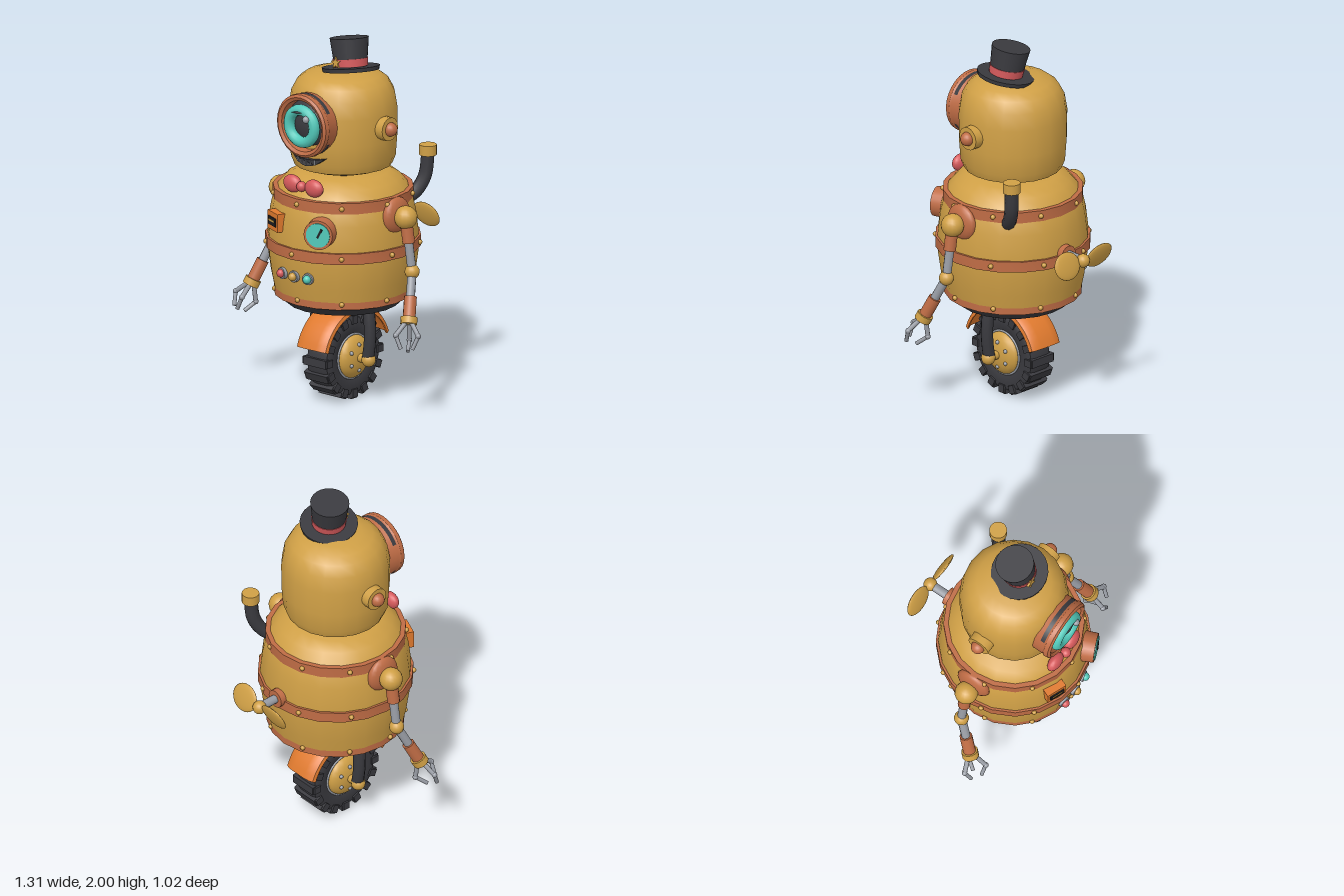
import * as THREE from 'three';
import { toCreasedNormals } from 'three/addons/utils/BufferGeometryUtils.js';

const paint = (name, color, side = THREE.FrontSide) => {
  const m = new THREE.MeshStandardMaterial({ color, side });
  m.name = name;
  return m;
};

export function createModel() {
  const gold = paint('gold', 0xd0a046), copper = paint('copper', 0xbf6c45);
  const dark = paint('charcoal', 0x3a3a3f), orange = paint('orange', 0xe07a2e, THREE.DoubleSide);
  const teal = paint('teal', 0x52c9ba), red = paint('red', 0xd65a5c);
  const silver = paint('silver', 0x989ca4), black = paint('black', 0x1d1d20);

  const model = new THREE.Group();
  const robot = new THREE.Group();
  robot.name = 'robot';
  robot.position.z = 0.075; // vertical axis of the body
  model.add(robot);

  const V = (x, y, z) => new THREE.Vector3(x, y, z);
  const add = (name, geo, mat, pos = [0, 0, 0], parent = robot) => {
    const m = new THREE.Mesh(geo, mat);
    m.name = name;
    m.position.set(...pos);
    parent.add(m);
    return m;
  };
  const group = (name, pos, parent = robot) => {
    const g = new THREE.Group();
    g.name = name;
    g.position.set(...pos);
    parent.add(g);
    return g;
  };
  const lathe = (pts, seg = 20, start = 0, len = Math.PI * 2) => toCreasedNormals(
    new THREE.LatheGeometry(pts.map(p => new THREE.Vector2(...p)), seg, start, len), 0.6);
  const ball = (name, r, mat, pos, parent, scale = [1, 1, 1]) =>
    add(name, new THREE.SphereGeometry(r, 16, 12).scale(...scale), mat, pos, parent);
  const cyl = (r0, r1, h, seg = 16) => new THREE.CylinderGeometry(r0, r1, h, seg);
  const rod = (name, a, b, r, mat, seg = 10) => {
    const d = b.clone().sub(a);
    const m = add(name, cyl(r, r, d.length(), seg), mat, a.clone().add(b).multiplyScalar(0.5).toArray());
    m.quaternion.setFromUnitVectors(V(0, 1, 0), d.normalize());
    return m;
  };
  const tube = (name, pts, r, mat) => add(name,
    new THREE.TubeGeometry(new THREE.CatmullRomCurve3(pts), 14, r, 10), mat);

  // Barrel body, underside and neck
  add('body', lathe([[0.36, 0.58], [0.383, 0.69], [0.4, 0.81], [0.402, 0.92], [0.388, 1.04], [0.365, 1.14],
    [0.345, 1.175], [0.305, 1.22], [0.245, 1.255], [0, 1.255]]), gold);
  add('underside', lathe([[0, 0.53], [0.3, 0.53], [0.358, 0.585]]), dark);
  add('neck', cyl(0.14, 0.14, 0.08), dark, [0, 1.27, 0]);

  // Riveted bands
  for (const [R, y] of [[0.374, 1.14], [0.414, 0.873], [0.368, 0.61]]) {
    add('band', lathe([[R - 0.03, y - 0.03], [R, y - 0.03], [R, y + 0.03], [R - 0.03, y + 0.03]]), copper);
    for (let i = 0; i < 9; i++) {
      const a = i * Math.PI * 2 / 9;
      add('rivet', new THREE.SphereGeometry(0.014, 8, 6), gold, [Math.sin(a) * R, y, Math.cos(a) * R]);
    }
  }

  // Head with ears
  add('head', lathe([[0, 1.28], [0.22, 1.28], [0.262, 1.295], [0.28, 1.34], [0.288, 1.45], [0.29, 1.6],
    [0.275, 1.69], [0.243, 1.75], [0.2, 1.783], [0.14, 1.802], [0, 1.81]]), gold);
  for (const s of [-1, 1]) {
    add('ear', cyl(0.064, 0.064, 0.09).rotateZ(Math.PI / 2), gold, [s * 0.285, 1.535, 0]);
    ball('earKnob', 0.038, copper, [s * 0.333, 1.535, 0]);
  }

  // Goggle eye
  const eye = group('eye', [0, 1.563, 0]);
  add('goggleRim', lathe([[0.165, 0.15], [0.168, 0.3], [0.174, 0.31], [0.172, 0.335], [0.158, 0.345],
    [0.14, 0.335], [0.136, 0.3], [0.136, 0.22]], 28).rotateX(Math.PI / 2), copper, [0, 0, 0], eye);
  for (const a of [0, Math.PI]) {
    add('goggleTrim', new THREE.CylinderGeometry(0.17, 0.17, 0.024, 14, 1, true, a - 1.05, 2.1)
      .rotateX(-Math.PI / 2), dark, [0, 0, 0.287], eye);
  }
  ball('eyeball', 0.145, dark, [0, 0, 0.215], eye, [1, 1, 0.8]);
  add('iris', new THREE.TorusGeometry(0.088, 0.03, 12, 32), teal, [0, 0, 0.333], eye);
  const lid = add('eyelid', new THREE.SphereGeometry(0.145, 20, 8, 0, Math.PI * 2, 0, 1.0).scale(1, 1, 1.28),
    dark, [0, 0, 0.215], eye);
  lid.rotation.z = 0.1;
  ball('eyeGlint', 0.02, silver, [0.055, 0.052, 0.362], eye);

  // Smiling grille, bent around the head
  const smile = new THREE.Shape();
  smile.moveTo(-0.112, 1.388);
  smile.quadraticCurveTo(0, 1.285, 0.112, 1.388);
  smile.quadraticCurveTo(0, 1.362, -0.112, 1.388);
  const mouth = new THREE.ExtrudeGeometry(smile, { depth: 0.03, bevelEnabled: false, curveSegments: 12 });
  const mp = mouth.attributes.position;
  for (let i = 0; i < mp.count; i++) mp.setZ(i, mp.getZ(i) - 0.018 + Math.sqrt(0.29 ** 2 - mp.getX(i) ** 2));
  mouth.computeVertexNormals();
  add('mouth', mouth, dark);
  for (let i = -2; i <= 2; i++) {
    const x = i * 0.03;
    add('mouthBar', new THREE.BoxGeometry(0.005, 0.026, 0.008), silver,
      [x, 1.356 + x * x * 2, Math.sqrt(0.29 ** 2 - x * x) + 0.011]);
  }

  // Tilted top hat
  const hat = group('hat', [0.055, 1.82, 0]);
  hat.rotation.set(-0.1, 0, 0.16);
  add('hatBrim', cyl(0.155, 0.15, 0.022, 24), dark, [0, 0, 0], hat);
  add('hatCrown', cyl(0.104, 0.086, 0.165, 24), dark, [0, 0.0825, 0], hat);
  add('hatBand', cyl(0.095, 0.091, 0.042, 24), red, [0, 0.034, 0], hat);
  const star = new THREE.Shape();
  for (let i = 0; i < 10; i++) {
    const r = i % 2 ? 0.014 : 0.034, a = Math.PI / 2 + i * Math.PI / 5;
    star[i ? 'lineTo' : 'moveTo'](Math.cos(a) * r, Math.sin(a) * r);
  }
  add('hatStar', new THREE.ExtrudeGeometry(star, { depth: 0.012, bevelEnabled: false }), gold, [-0.02, 0.038, 0.088], hat);

  // Bow tie
  for (const s of [-1, 1]) {
    const lobe = ball('bowLobe', 0.06, red, [s * 0.075, 1.23, 0.32], robot, [1, 0.8, 0.55]);
    lobe.rotation.z = s * 0.08;
  }
  ball('bowKnot', 0.028, red, [0, 1.23, 0.335]);

  // Coin slot
  const slot = group('coinSlot', [-0.148, 1.02, 0.365]);
  slot.rotation.y = -0.39;
  add('slotPlate', new THREE.BoxGeometry(0.115, 0.1, 0.05), orange, [0, 0, 0], slot);
  add('slotPanel', new THREE.BoxGeometry(0.085, 0.045, 0.008), black, [0, 0, 0.027], slot);
  add('slotBar', new THREE.BoxGeometry(0.06, 0.01, 0.008), gold, [0, 0.004, 0.03], slot);

  // Pressure gauge
  const gauge = group('gauge', [0.16, 1.01, 0.365]);
  gauge.rotation.y = 0.41;
  add('gaugeCase', cyl(0.08, 0.084, 0.08, 24).rotateX(Math.PI / 2), copper, [0, 0, 0.005], gauge);
  add('gaugeFace', cyl(0.066, 0.066, 0.008, 24).rotateX(Math.PI / 2), teal, [0, 0, 0.046], gauge);
  const needle = add('gaugeNeedle', new THREE.BoxGeometry(0.012, 0.055, 0.008), black, [0.01, 0.012, 0.052], gauge);
  needle.rotation.z = -0.45;

  // Buttons
  [red, gold, teal].forEach((mat, i) => {
    const x = (i - 1) * 0.088, b = group('button', [x, 0.747, Math.sqrt(0.39 ** 2 - x * x)]);
    b.rotation.y = x / 0.39;
    add('buttonBezel', cyl(0.031, 0.033, 0.03).rotateX(Math.PI / 2), silver, [0, 0, 0], b);
    ball('buttonCap', 0.023, mat, [0, 0, 0.017], b);
  });

  // Arms with three-fingered claws
  for (const s of [-1, 1]) {
    const shoulder = V(s * 0.44, 1.07, 0), elbow = V(s * 0.485, 0.78, 0), wrist = V(s * 0.55, 0.55, 0.1);
    const at = (a, b, t) => a.clone().lerp(b, t);
    ball('shoulderPad', 0.1, copper, [s * 0.372, 1.07, 0], robot, [0.42, 1, 1]);
    ball('shoulder', 0.063, gold, shoulder.toArray());
    rod('upperSleeve', at(shoulder, elbow, 0.15), at(shoulder, elbow, 0.47), 0.034, copper, 12);
    rod('upperArm', shoulder, elbow, 0.024, silver);
    ball('elbow', 0.04, gold, elbow.toArray());
    rod('foreArm', elbow, wrist, 0.024, silver);
    rod('foreSleeve', at(elbow, wrist, 0.52), at(elbow, wrist, 0.98), 0.034, copper, 12);
    const d = wrist.clone().sub(elbow).normalize();
    rod('wrist', at(elbow, wrist, 0.95), wrist.clone().addScaledVector(d, 0.025), 0.045, gold, 12);
    const u = V(1, 0, 0).addScaledVector(d, -d.x).normalize(), v = d.clone().cross(u);
    for (let i = 0; i < 3; i++) {
      const a = i * Math.PI * 2 / 3 + (s < 0 ? Math.PI : 0);
      const n = u.clone().multiplyScalar(Math.cos(a)).addScaledVector(v, Math.sin(a));
      const joint = (along, out) => wrist.clone().addScaledVector(d, along).addScaledVector(n, out);
      rod('finger', joint(0.02, 0.02), joint(0.095, 0.07), 0.013, silver, 8);
      ball('knuckle', 0.015, silver, joint(0.095, 0.07).toArray());
      rod('fingerTip', joint(0.095, 0.07), joint(0.165, 0.035), 0.011, silver, 8);
    }
  }

  // Wheel: tyre, tread blocks and hubs
  const wheel = group('wheel', [0, 0.233, 0]);
  add('tyre', lathe([[0.1, -0.055], [0.13, -0.07], [0.19, -0.078], [0.21, -0.068], [0.217, -0.04], [0.217, 0.04],
    [0.21, 0.068], [0.19, 0.078], [0.13, 0.07], [0.1, 0.055]], 32).rotateZ(-Math.PI / 2), dark, [0, 0, 0], wheel);
  for (let i = 0; i < 16; i++) {
    const a = i * Math.PI / 8;
    add('treadBlock', new THREE.BoxGeometry(0.155, 0.03, 0.045).translate(0, 0.217, 0), dark, [0, 0, 0], wheel)
      .rotation.x = a;
    for (const s of [-1, 1]) {
      add('shoulderBlock', new THREE.BoxGeometry(0.022, 0.045, 0.04).translate(s * 0.076, 0.203, 0), dark,
        [0, 0, 0], wheel).rotation.x = a;
    }
  }
  for (const s of [-1, 1]) {
    add('hubRing', new THREE.TorusGeometry(0.121, 0.006, 8, 32).rotateY(Math.PI / 2), silver, [s * 0.07, 0, 0], wheel);
    ball('hub', 0.118, gold, [s * 0.068, 0, 0], wheel, [0.48, 1, 1]);
    for (let i = 0; i < 6; i++) {
      const a = (i + 0.5) * Math.PI / 3;
      ball('hubBolt', 0.011, silver, [s * 0.113, Math.sin(a) * 0.07, Math.cos(a) * 0.07], wheel);
    }
    ball('axleCap', 0.038, gold, [s * 0.18, 0, 0], wheel);
    tube('leg', [V(s * 0.17, 0.56, 0), V(s * 0.187, 0.44, 0), V(s * 0.188, 0.34, 0), V(s * 0.175, 0.24, 0)], 0.033, dark);
  }
  add('axle', cyl(0.024, 0.024, 0.36).rotateZ(Math.PI / 2), gold, [0, 0, 0], wheel);

  // Curved fender
  add('fender', lathe([[0.248, -0.105], [0.268, -0.1], [0.28, -0.08], [0.285, -0.045], [0.285, 0.045], [0.28, 0.08],
    [0.268, 0.1], [0.248, 0.105], [0.248, 0.095], [0.265, 0.07], [0.27, 0], [0.265, -0.07], [0.248, -0.095],
    [0.248, -0.105]], 20, -2.81, 2.52).rotateZ(-Math.PI / 2), orange, [0, 0, 0], wheel);

  // Rear propeller
  add('propellerCollar', cyl(0.05, 0.05, 0.06).rotateX(Math.PI / 2), copper, [0, 0.905, -0.4]);
  rod('propellerShaft', V(0, 0.905, -0.4), V(0, 0.905, -0.54), 0.024, silver);
  ball('propellerHub', 0.037, gold, [0, 0.905, -0.54]);
  for (const s of [-1, 1]) {
    const blade = ball('propellerBlade', 0.09, gold, [s * 0.115, 0.905, -0.54], robot, [1, 0.84, 0.17]);
    blade.rotation.x = s * 0.35;
  }

  // Exhaust pipe
  tube('exhaustPipe', [V(0.25, 1.09, -0.22), V(0.28, 1.13, -0.27), V(0.305, 1.21, -0.31), V(0.315, 1.34, -0.323)], 0.037, dark);
  add('exhaustCap', cyl(0.047, 0.047, 0.056), gold, [0.315, 1.35, -0.323]);

  return model;
}
